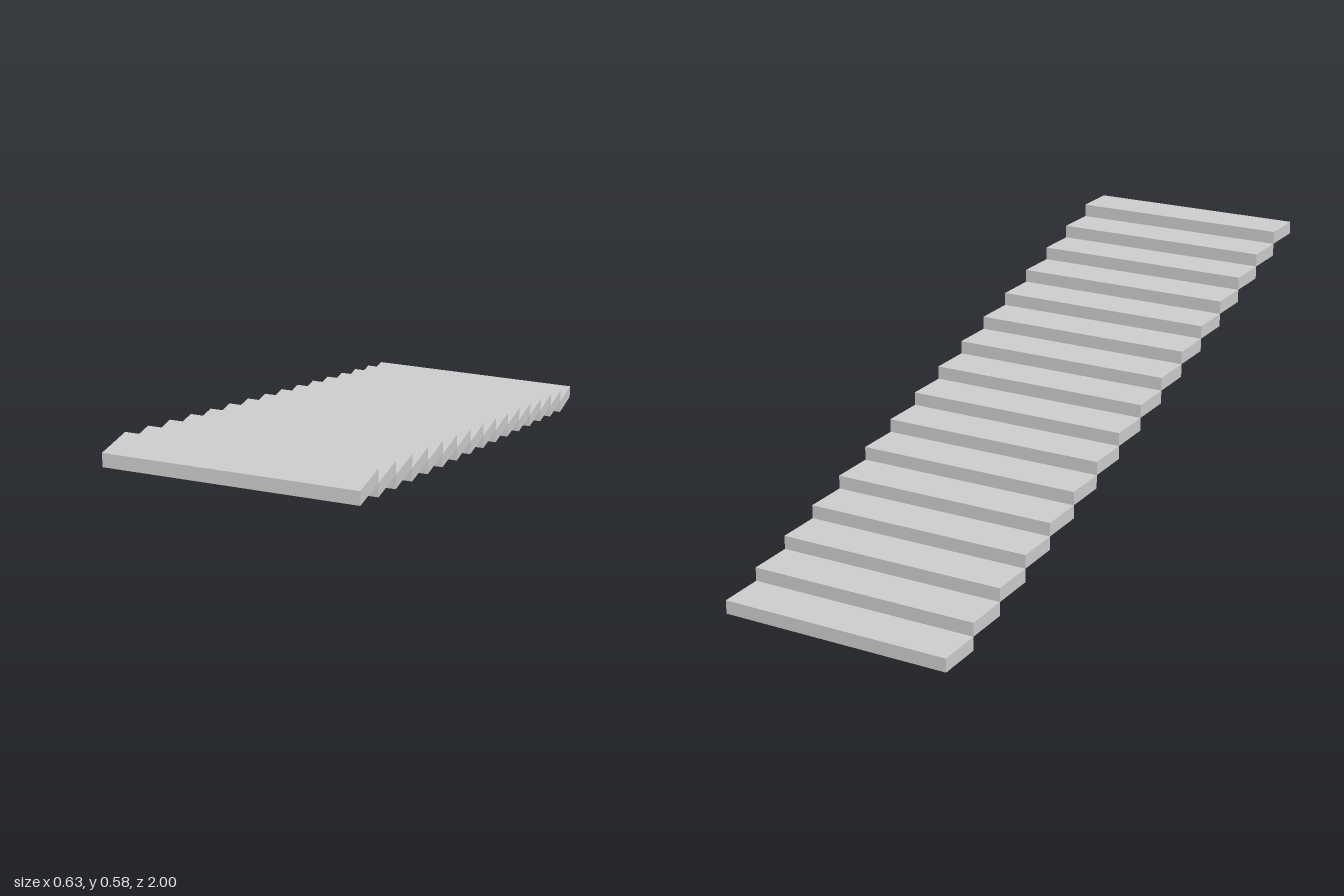
import * as THREE from 'three';

// Straight flight of slab steps, climbing from the back (-z) to the front (+z)
export function createModel() {
  const group = new THREE.Group();
  group.name = 'staircase';

  const count = 16;
  const width = 0.626;
  const depth = 2 / count;
  const rise = 0.58 / count;

  const material = new THREE.MeshStandardMaterial({ color: 0xcccccc });
  const slab = new THREE.BoxGeometry(width, rise, depth);

  // Each slab starts where the one below it ends
  for (let i = 0; i < count; i++) {
    const step = new THREE.Mesh(slab, material);
    step.name = `step${i + 1}`;
    step.position.set(0, (i + 0.5) * rise, -1 + (i + 0.5) * depth);
    group.add(step);
  }
  return group;
}
